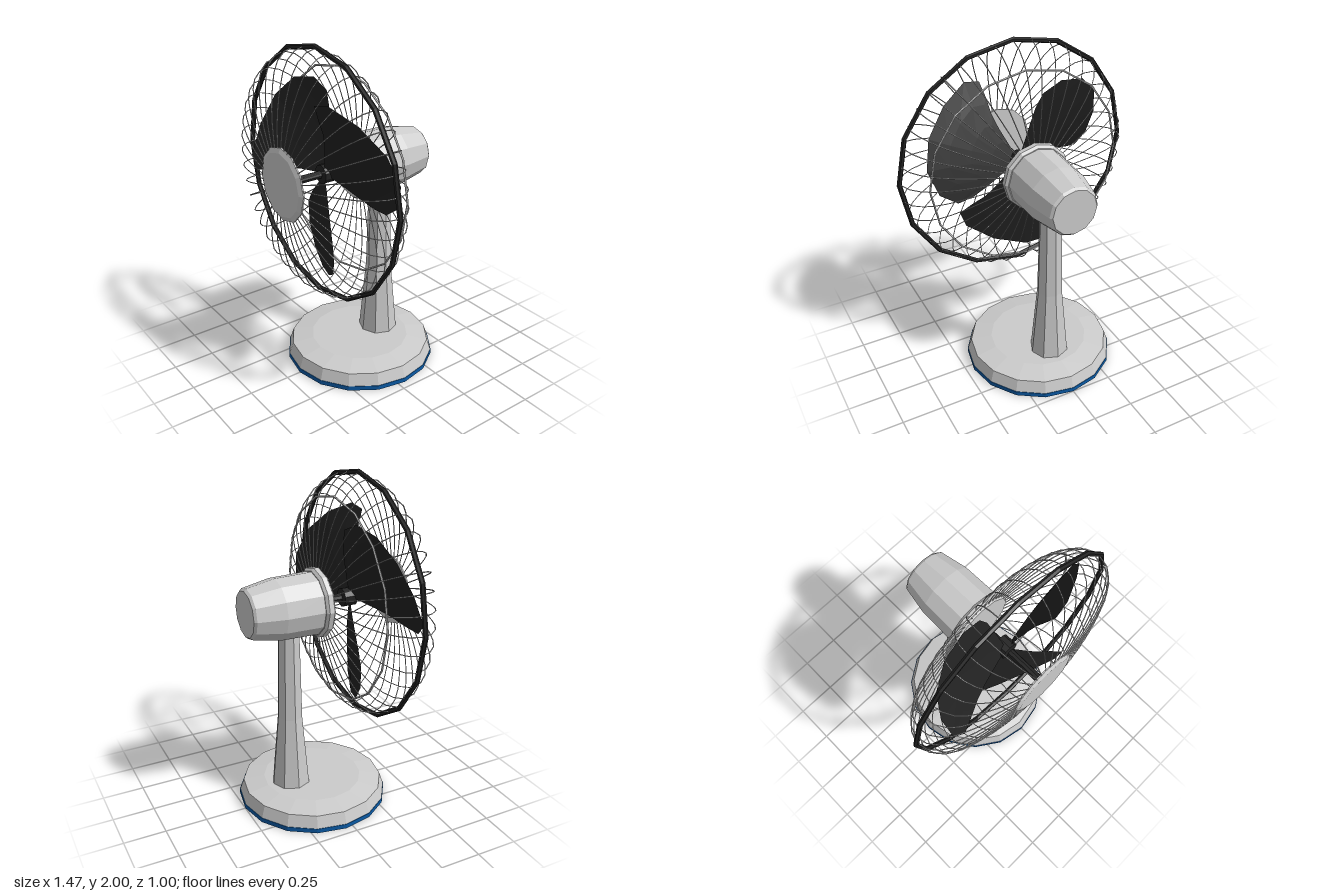
import * as THREE from 'three';

const mat = (color, side = THREE.FrontSide) =>
  new THREE.MeshStandardMaterial({ color, side, flatShading: true });

export function createModel() {
  const grey = mat(0xcccccc);
  const black = mat(0x222222);
  const bladeBlack = mat(0x222222, THREE.DoubleSide);
  const blue = mat(0x0a5aa5);

  const model = new THREE.Group();
  model.name = 'deskFan';

  const add = (parent, name, geometry, material) => {
    const mesh = new THREE.Mesh(geometry, material);
    mesh.name = name;
    parent.add(mesh);
    return mesh;
  };
  // Turned solid from [radius, height] pairs, listed from bottom to top
  const turned = (profile, sides) =>
    new THREE.LatheGeometry(profile.map(([r, h]) => new THREE.Vector2(r, h)), sides);
  // The same, with its axis pointing forward
  const turnedForward = (profile, sides) => turned(profile, sides).rotateX(Math.PI / 2);

  // Base with its coloured foot pad
  const base = new THREE.Group();
  base.name = 'base';
  base.position.z = -0.045;
  model.add(base);
  add(base, 'footPad', turned([[0, 0], [0.455, 0], [0.455, 0.028], [0, 0.028]], 16), blue);
  add(base, 'baseBody', turned([[0, 0.028], [0.452, 0.028], [0.428, 0.1], [0.3, 0.122], [0, 0.122]], 16), grey);

  // Tapering stand
  const stand = add(model, 'stand',
    turned([[0, 0.11], [0.118, 0.12], [0.077, 0.57], [0.065, 1.1], [0.065, 1.15], [0, 1.15]], 8), grey);
  stand.position.z = -0.19;

  // Everything on the fan axis
  const head = new THREE.Group();
  head.name = 'head';
  head.position.y = 1.263;
  model.add(head);

  add(head, 'motorHousing', turnedForward(
    [[0, -0.455], [0.135, -0.455], [0.148, -0.44], [0.18, -0.27], [0.185, -0.04], [0, -0.04]], 12), grey);
  add(head, 'motorCollar', turnedForward(
    [[0, -0.045], [0.19, -0.045], [0.205, -0.03], [0.205, 0], [0.195, 0.01], [0, 0.01]], 12), grey);
  add(head, 'frontCap', turnedForward(
    [[0, 0.475], [0.213, 0.475], [0.213, 0.483], [0.185, 0.496], [0, 0.496]], 12), grey);
  add(head, 'shaft', turnedForward([[0, 0], [0.023, 0], [0.023, 0.475], [0, 0.475]], 8), black);
  add(head, 'hub', turnedForward([[0, 0.14], [0.055, 0.15], [0.055, 0.23], [0, 0.24]], 10), black);

  // Three pitched blades
  const blade = bladeGeometry();
  for (let i = 0; i < 3; i++) {
    add(head, 'blade', blade, bladeBlack).rotation.z = (i * Math.PI * 2) / 3;
  }

  // Guard rings
  add(head, 'outerRing', new THREE.TorusGeometry(0.721, 0.015, 6, 16), black).position.z = 0.25;
  add(head, 'rearRing', new THREE.TorusGeometry(0.597, 0.006, 5, 16), grey).position.z = 0.1;

  // Guard wires, each running from the collar over the rim to the cap
  const path = new THREE.CatmullRomCurve3([
    [0.19, 0], [0.3, 0.015], [0.47, 0.05], [0.6, 0.1], [0.685, 0.175], [0.712, 0.25],
    [0.69, 0.315], [0.63, 0.375], [0.49, 0.43], [0.35, 0.463], [0.2, 0.482],
  ].map(([r, z]) => new THREE.Vector3(r, 0, z)));
  const wire = new THREE.TubeGeometry(path, 18, 0.0032, 4);
  const wires = new THREE.Group();
  wires.name = 'guardWires';
  head.add(wires);
  for (let i = 0; i < 40; i++) {
    add(wires, 'guardWire', wire, grey).rotation.z = (i * Math.PI) / 20;
  }

  return model;
}

// Fan-shaped blade: rows run from the hub to an outline of [degrees, radius]
function bladeGeometry() {
  const outline = [[-20, 0.25], [-19, 0.36], [-16, 0.45], [-5, 0.54], [10, 0.6], [26, 0.608],
    [44, 0.58], [62, 0.548], [71, 0.49], [70, 0.4], [65, 0.28]];
  const steps = 4, middle = 27, positions = [], index = [];
  outline.forEach(([deg, outer], i) => {
    const rootDeg = -20 + (i / (outline.length - 1)) * 85;
    for (let j = 0; j <= steps; j++) {
      const k = j / steps;
      const r = 0.04 + (outer - 0.04) * k;
      const a = THREE.MathUtils.degToRad(rootDeg + (deg - rootDeg) * k);
      // Pitch grows with the distance from the blade's centre line
      const across = r * Math.sin(a - THREE.MathUtils.degToRad(middle));
      positions.push(r * Math.cos(a), r * Math.sin(a), 0.205 + 0.4 * across + 0.25 * across * across);
      if (i && j) {
        const d = i * (steps + 1) + j, c = d - 1, b = d - steps - 1, e = b - 1;
        index.push(e, b, d, e, d, c);
      }
    }
  });
  const geometry = new THREE.BufferGeometry();
  geometry.setAttribute('position', new THREE.Float32BufferAttribute(positions, 3));
  geometry.setIndex(index);
  geometry.computeVertexNormals();
  return geometry;
}
